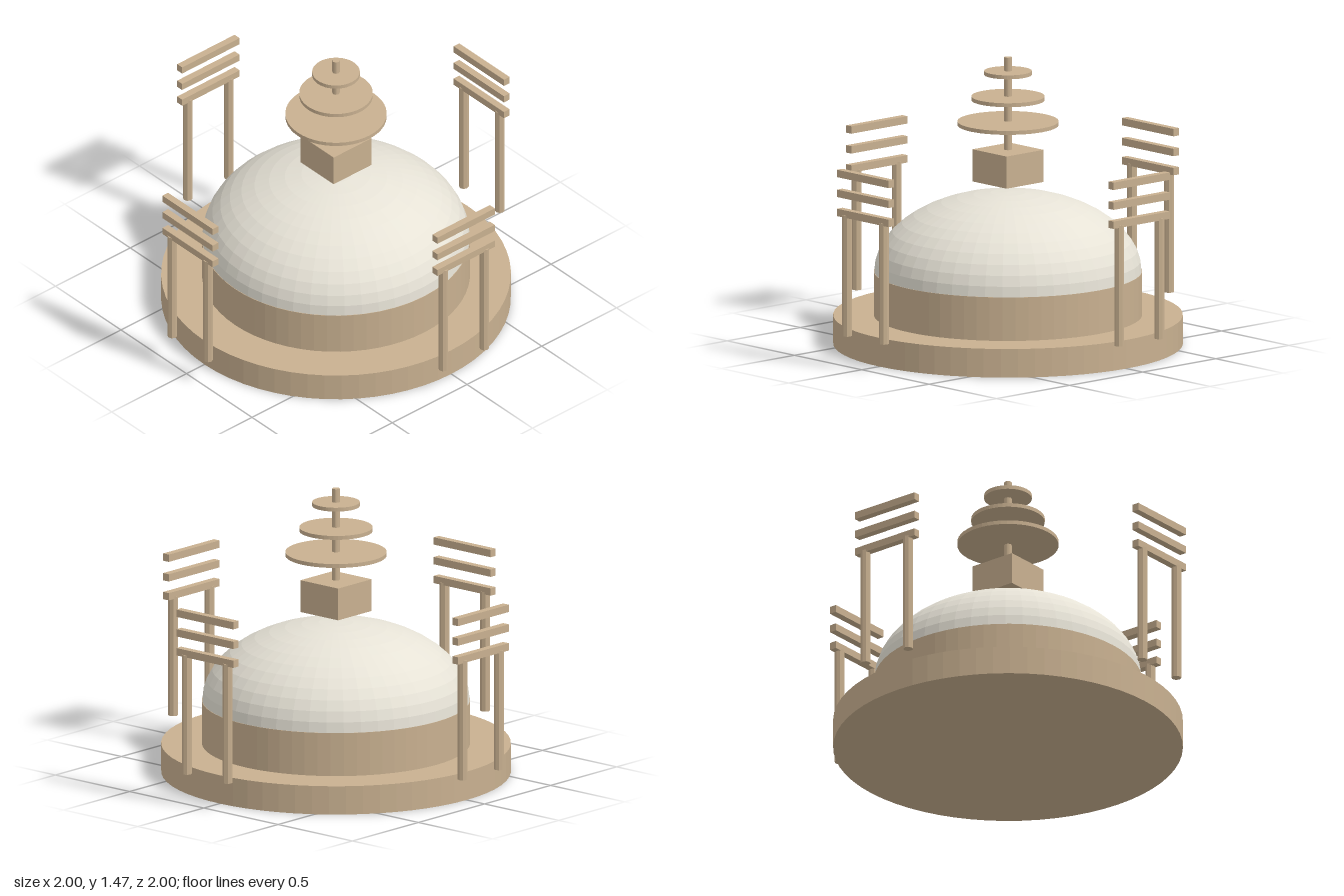
import * as THREE from 'three';

const stone = new THREE.MeshStandardMaterial({ color: 0xc8b090, flatShading: true });
const plaster = new THREE.MeshStandardMaterial({ color: 0xe6e2d6, flatShading: true });

function add(parent, name, geometry, material, x, y, z) {
  const mesh = new THREE.Mesh(geometry, material);
  mesh.name = name;
  mesh.position.set(x, y, z);
  parent.add(mesh);
  return mesh;
}

// Upright cylinder given by its bottom and top heights
function drum(parent, name, radius, bottom, top, sides, x = 0, z = 0) {
  return add(parent, name, new THREE.CylinderGeometry(radius, radius, top - bottom, sides), stone, x, (bottom + top) / 2, z);
}

// Gateway: two posts and three stacked crossbars
function makeGateway() {
  const gate = new THREE.Group();
  for (const x of [-0.137, 0.137]) drum(gate, 'gatePost', 0.025, 0.15, 0.77, 8, x, 0.975);
  for (const y of [0.778, 0.876, 0.978]) {
    add(gate, 'gateCrossbar', new THREE.BoxGeometry(0.384, 0.038, 0.038), stone, 0, y, 0.974);
  }
  return gate;
}

export function createModel() {
  const model = new THREE.Group();
  model.name = 'domedShrine';

  // Round terrace and drum
  drum(model, 'terrace', 0.88, 0, 0.147, 64);
  drum(model, 'drumWall', 0.675, 0.147, 0.37, 64);

  // Flattened hemispherical dome
  const domeGeometry = new THREE.SphereGeometry(0.673, 48, 12, 0, Math.PI * 2, 0, Math.PI / 2);
  add(model, 'dome', domeGeometry, plaster, 0, 0.37, 0).scale.y = 0.605;

  // Square block floating just above the dome
  add(model, 'crownBlock', new THREE.BoxGeometry(0.254, 0.165, 0.254), stone, 0, 0.911, 0);

  // Spire with three diminishing discs
  drum(model, 'spire', 0.019, 0.98, 1.468, 16);
  [[0.255, 1.13], [0.185, 1.258], [0.12, 1.388]].forEach(([radius, y]) => {
    drum(model, 'spireDisc', radius, y - 0.01, y + 0.01, 48);
  });

  // Four gateways around the terrace
  ['front', 'left', 'back', 'right'].forEach((side, i) => {
    const gate = makeGateway();
    gate.name = side + 'Gateway';
    gate.rotation.y = i * Math.PI / 2;
    model.add(gate);
  });

  return model;
}
